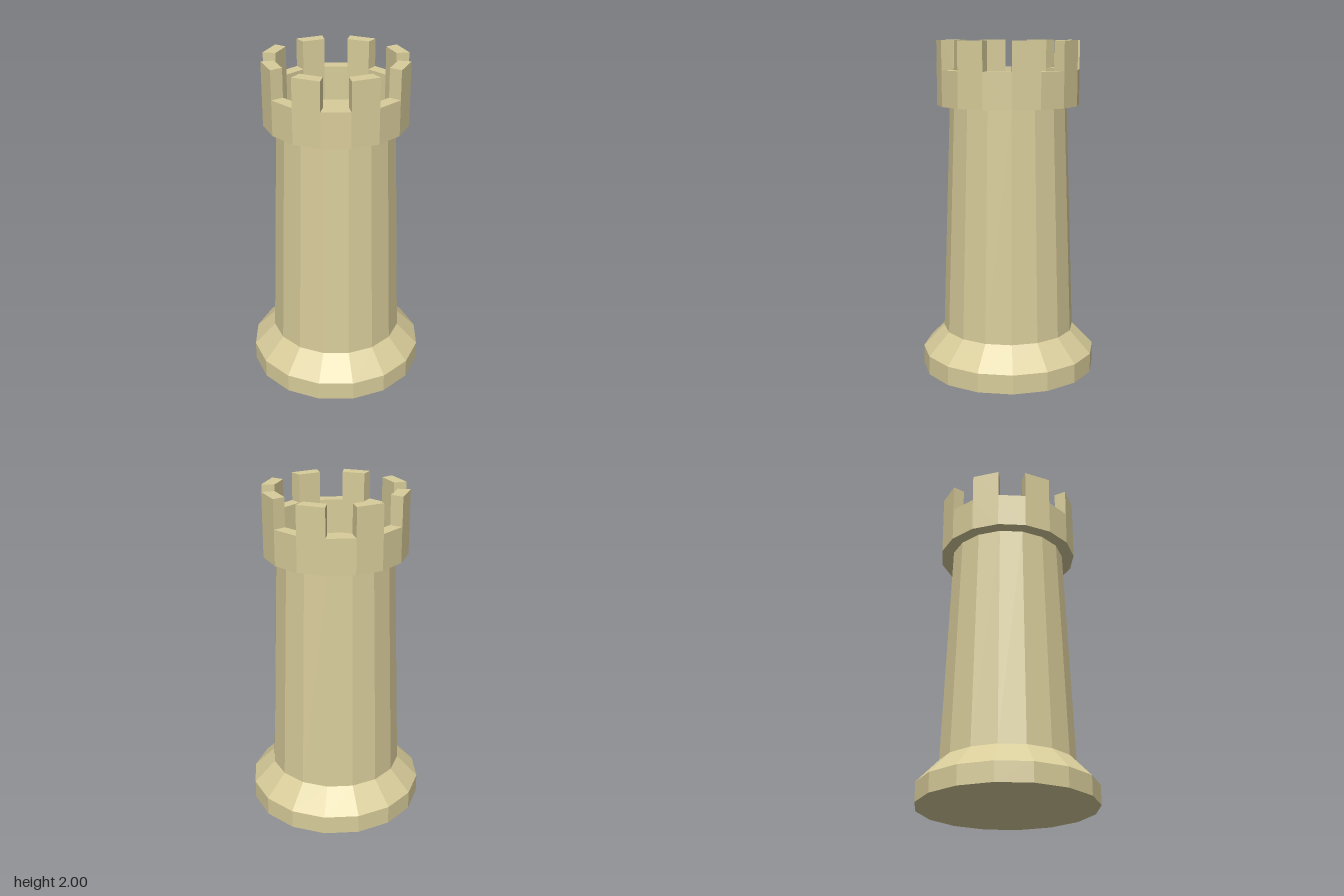
import * as THREE from 'three';

const SIDES = 16;
const STEP = (Math.PI * 2) / SIDES;
const OUTER = 0.425, INNER = 0.35;
const FLOOR = 1.62, GAP = 1.83, TOP = 2;

export function createModel() {
  const tower = new THREE.Group();
  tower.name = 'tower';
  const stone = new THREE.MeshStandardMaterial({ color: 0xd8cc9a, flatShading: true });
  stone.name = 'sandstone';

  const add = (name, geometry) => {
    const mesh = new THREE.Mesh(geometry, stone);
    mesh.name = name;
    tower.add(mesh);
  };
  // Faceted tapering drum between two heights
  const drum = (name, rBottom, rTop, y0, y1) => add(name,
    new THREE.CylinderGeometry(rTop, rBottom, y1 - y0, SIDES).translate(0, (y0 + y1) / 2, 0));

  drum('plinth', 0.53, 0.53, 0, 0.115);
  drum('slopedFoot', 0.53, 0.4, 0.115, 0.25);
  drum('shaft', 0.4, INNER, 0.25, FLOOR); // its top is the floor inside the parapet

  // Parapet ring
  const ring = [[INNER, FLOOR], [OUTER, FLOOR], [OUTER, GAP], [INNER, GAP], [INNER, FLOOR]]
    .map(([r, y]) => new THREE.Vector2(r, y));
  add('parapet', new THREE.LatheGeometry(ring, SIDES));

  // Battlements on every other facet
  const corner = (r, a) => new THREE.Vector2(r * Math.sin(a), -r * Math.cos(a));
  for (let i = 1; i < SIDES; i += 2) {
    const a = i * STEP, b = a + STEP;
    const plan = new THREE.Shape([corner(INNER, a), corner(OUTER, a), corner(OUTER, b), corner(INNER, b)]);
    const block = new THREE.ExtrudeGeometry(plan, { depth: TOP - GAP, bevelEnabled: false });
    add('battlement' + (i + 1) / 2, block.rotateX(-Math.PI / 2).translate(0, GAP, 0));
  }
  return tower;
}
